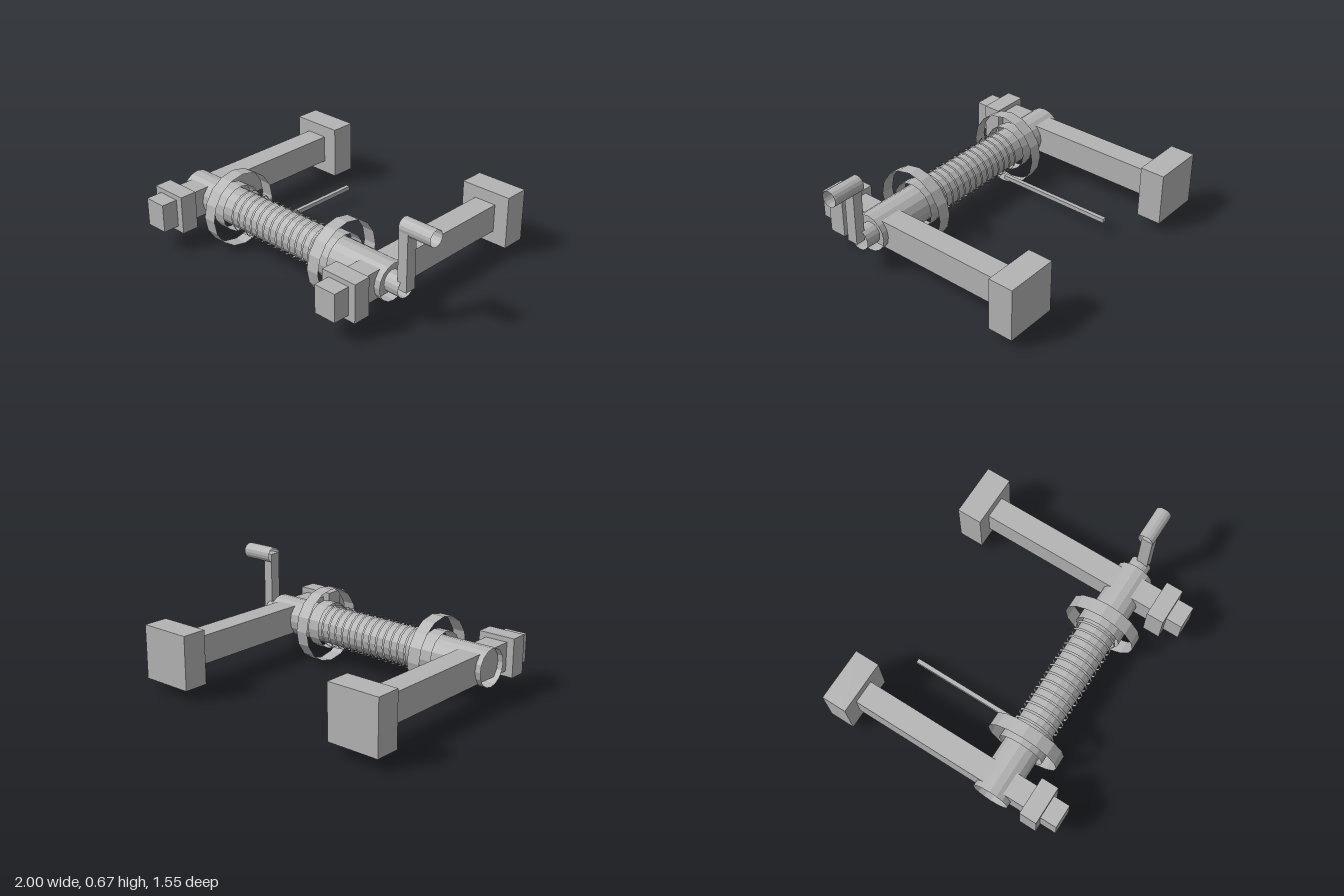
import * as THREE from 'three';

export function createModel() {
  const group = new THREE.Group();
  const grey = new THREE.MeshStandardMaterial({ color: 0xb4b4b4 });
  grey.name = 'grey metal';
  grey.flatShading = true;
  grey.side = THREE.DoubleSide;

  const add = (name, geometry) => {
    const mesh = new THREE.Mesh(geometry, grey);
    mesh.name = name;
    group.add(mesh);
  };

  // Block between two corners
  const block = (name, [x0, x1], [y0, y1], [z0, z1]) => {
    const g = new THREE.BoxGeometry(x1 - x0, y1 - y0, z1 - z0);
    g.translate((x0 + x1) / 2, (y0 + y1) / 2, (z0 + z1) / 2);
    add(name, g);
  };

  // Open tube lying along x
  const tube = (name, x0, x1, radius, y = 0.238, z = 0.347) => {
    const g = new THREE.CylinderGeometry(radius, radius, x1 - x0, 16, 1, true);
    g.rotateZ(Math.PI / 2);
    g.translate((x0 + x1) / 2, y, z);
    add(name, g);
  };

  // Two support beams with wall plates and front collars
  for (const [side, x] of [['right', -0.83], ['left', 0.605]]) {
    block(side + 'Beam', [x - 0.074, x + 0.074], [0.152, 0.332], [-0.614, 0.774]);
    block(side + 'WallPlate', [x - 0.17, x + 0.17], [0.07, 0.41], [-0.774, -0.614]);
    block(side + 'Collar', [x - 0.121, x + 0.121], [0.118, 0.363], [0.556, 0.668]);
  }

  // Drum with its wide rims and hubs
  tube('drum', -0.94, 0.72, 0.119);
  for (const [side, x] of [['right', -0.595], ['left', 0.28]]) {
    tube(side + 'Rim', x, x + 0.087, 0.238);
    tube(side + 'Hub', x - 0.018, x + 0.068, 0.15);
  }

  // Rope turns and the loose end
  for (let i = 0; i < 14; i++) {
    const x = -0.463 + i * 0.0543;
    tube('ropeTurn' + (i + 1), x - 0.008, x + 0.008, 0.136);
  }
  block('ropeEnd', [-0.457, -0.43], [0.08, 0.107], [-0.514, 0.27]);

  // Hand crank
  tube('crankShaft', 0.70, 0.803, 0.068, 0.238, 0.342);
  block('crankArm', [0.78, 0.845], [0.235, 0.625], [0.318, 0.39]);
  tube('crankGrip', 0.78, 1.0, 0.051, 0.616, 0.343);

  return group;
}
